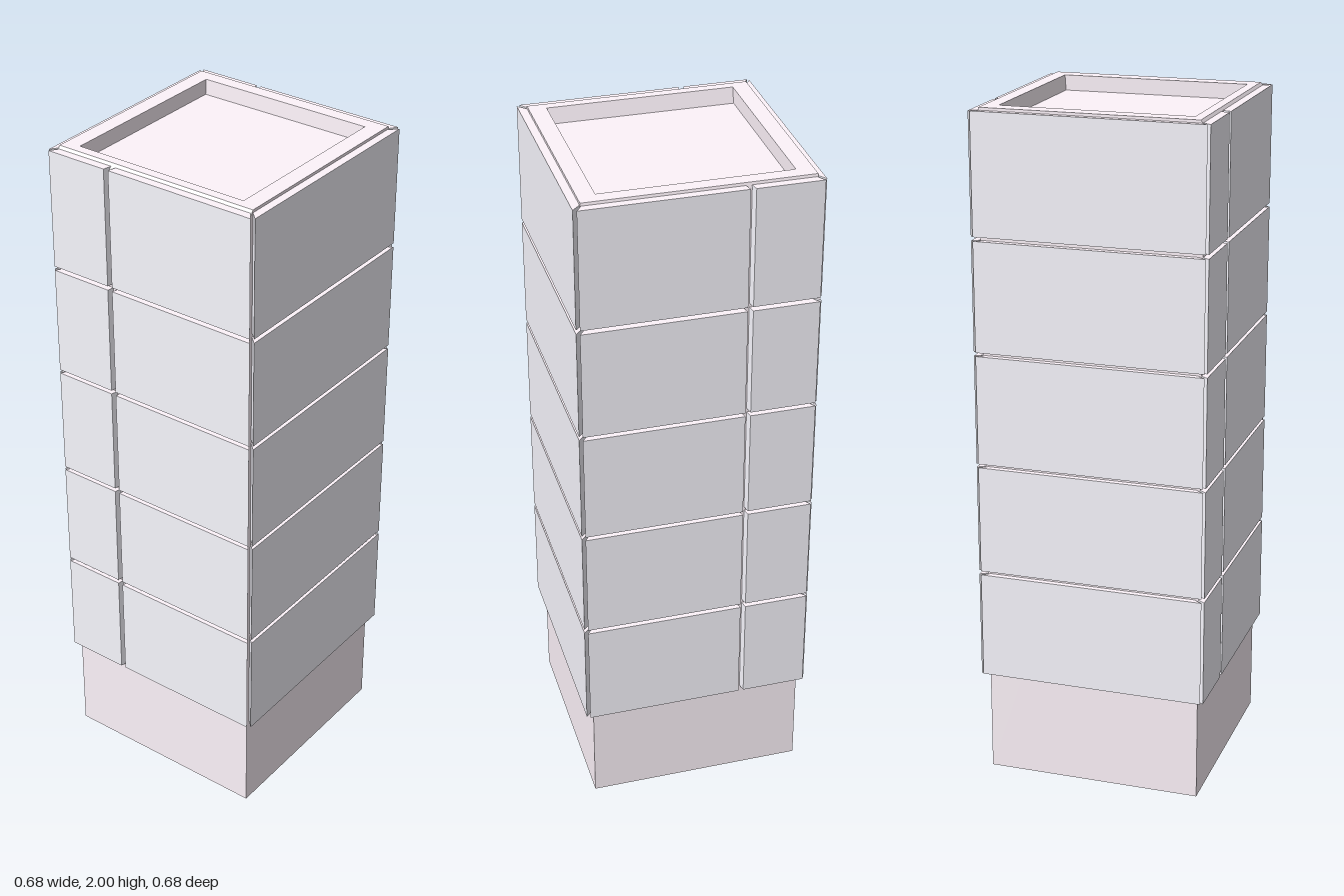
import * as THREE from 'three';

const coreMaterial = new THREE.MeshStandardMaterial({ color: 0xfef4fb, flatShading: true });
const panelMaterial = new THREE.MeshStandardMaterial({ color: 0xf8f7fe, flatShading: true });

// Skins a stack of rectangular rings [x0, x1, z0, z1, y], closed at both ends
function ringSolid(rings) {
  const points = [];
  const faces = [];
  for (const [x0, x1, z0, z1, y] of rings) {
    points.push(x0, y, z1, x1, y, z1, x1, y, z0, x0, y, z0);
  }
  for (let r = 0; r < rings.length - 1; r++) {
    for (let i = 0; i < 4; i++) {
      const a = r * 4 + i;
      const b = r * 4 + (i + 1) % 4;
      faces.push(a, b, b + 4, a, b + 4, a + 4);
    }
  }
  const t = (rings.length - 1) * 4;
  faces.push(0, 2, 1, 0, 3, 2, t, t + 1, t + 2, t, t + 2, t + 3);
  const geometry = new THREE.BufferGeometry();
  geometry.setAttribute('position', new THREE.Float32BufferAttribute(points, 3));
  geometry.setIndex(faces);
  const flat = geometry.toNonIndexed();
  flat.computeVertexNormals();
  return flat;
}

// Upright slab from a plan outline of [x, z] corners; its top and bottom match the core
function slab(name, plan, bottom, top) {
  const shape = new THREE.Shape(plan.map(([x, z]) => new THREE.Vector2(x, -z)));
  const geometry = new THREE.ExtrudeGeometry(shape, { depth: top - bottom, bevelEnabled: false });
  geometry.rotateX(-Math.PI / 2).translate(0, bottom, 0);
  const mesh = new THREE.Mesh(geometry, [coreMaterial, panelMaterial]);
  mesh.name = name;
  return mesh;
}

export function createModel() {
  const model = new THREE.Group();
  model.name = 'panelledColumn';

  // Core with a shallow recess in its top
  const core = new THREE.Mesh(ringSolid([
    [-0.322, 0.319, -0.323, 0.317, 0],
    [-0.322, 0.319, -0.323, 0.317, 1.985],
    [-0.311, 0.316, -0.323, 0.317, 2],
    [-0.283, 0.275, -0.275, 0.267, 2],
    [-0.272, 0.272, -0.275, 0.267, 1.955],
  ]), coreMaterial);
  core.name = 'core';
  model.add(core);

  // Five tiers of cladding separated by narrow joints
  const tiers = [[0.31, 0.629], [0.641, 0.963], [0.974, 1.297], [1.308, 1.63], [1.642, 1.992]];
  tiers.forEach(([bottom, top], i) => {
    const tier = new THREE.Group();
    tier.name = `claddingTier${i + 1}`;

    // Full-width panels with mitred ends
    for (const [name, s] of [['frontPanel', 1], ['backPanel', -1]]) {
      const inner = s > 0 ? 0.315 : -0.322;
      tier.add(slab(name, [[-0.335, s * 0.341], [0.335, s * 0.341], [0.309, inner], [-0.309, inner]], bottom, top));
    }

    // Each side is split into a wide front panel and a narrow back panel
    for (const [name, s] of [['left', 1], ['right', -1]]) {
      const out = s * 0.342;
      const inn = s * 0.317;
      tier.add(slab(`${name}WidePanel`, [[out, 0.332], [out, -0.131], [inn, -0.125], [inn, 0.314]], bottom, top));
      tier.add(slab(`${name}NarrowPanel`, [[out, -0.146], [out, -0.336], [inn, -0.319], [inn, -0.141]], bottom, top));
    }
    model.add(tier);
  });

  return model;
}
